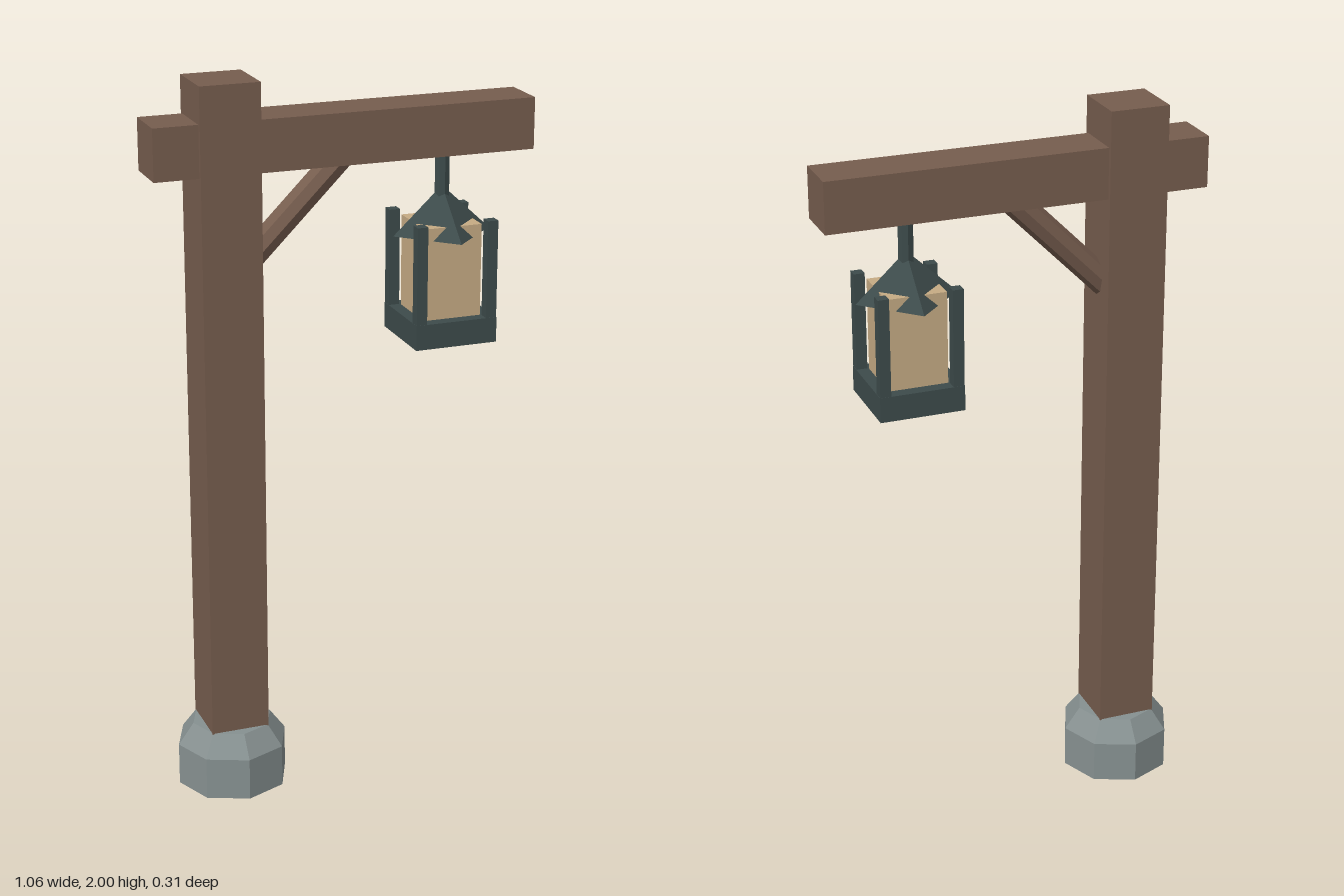
import * as THREE from 'three';

const flat = (name, color) => {
  const m = new THREE.MeshStandardMaterial({ color, flatShading: true });
  m.name = name;
  return m;
};

export function createModel() {
  const wood = flat('wood', 0x765d4e);
  const stone = flat('stone', 0x869090);
  const iron = flat('dark iron', 0x3d4b4b);
  const glass = flat('warm glass', 0xc6ab84);

  const model = new THREE.Group();
  model.name = 'lanternPost';

  const add = (parent, name, geometry, material, x, y, z = 0) => {
    const mesh = new THREE.Mesh(geometry, material);
    mesh.name = name;
    mesh.position.set(x, y, z);
    parent.add(mesh);
    return mesh;
  };
  const box = (w, h, d) => new THREE.BoxGeometry(w, h, d);
  const cyl = (top, bottom, h, sides, open = false) =>
    new THREE.CylinderGeometry(top, bottom, h, sides, 1, open);

  // Timber post and crossbeam
  const postX = -0.325;
  add(model, 'post', box(0.164, 1.99, 0.164), wood, postX, 1.005);
  add(model, 'crossbeam', box(1.056, 0.14, 0.14), wood, 0, 1.83);

  // Diagonal brace at 45 degrees
  const brace = add(model, 'brace', cyl(0.038, 0.038, 0.42, 8), wood, -0.126, 1.642);
  brace.rotation.z = -Math.PI / 4;

  // Octagonal stone footing with a sloped shoulder
  add(model, 'footing', cyl(0.157, 0.157, 0.12, 8), stone, postX, 0.06);
  add(model, 'footingShoulder', cyl(0.113, 0.157, 0.06, 8), stone, postX, 0.15);

  // Hanging lantern
  const lantern = new THREE.Group();
  lantern.name = 'lantern';
  lantern.position.x = 0.293;
  model.add(lantern);

  add(lantern, 'hanger', cyl(0.021, 0.021, 0.15, 8), iron, 0, 1.7);
  add(lantern, 'lanternRoof', cyl(0, 0.14, 0.13, 4), iron, 0, 1.6);
  add(lantern, 'lanternGlass', box(0.165, 0.265, 0.165), glass, 0, 1.4375);
  add(lantern, 'lanternBase', box(0.234, 0.07, 0.234), iron, 0, 1.28);
  for (const sx of [-1, 1]) {
    for (const sz of [-1, 1]) {
      add(lantern, 'cornerBar', box(0.03, 0.275, 0.03), iron, sx * 0.101, 1.4475, sz * 0.101);
    }
  }

  return model;
}
